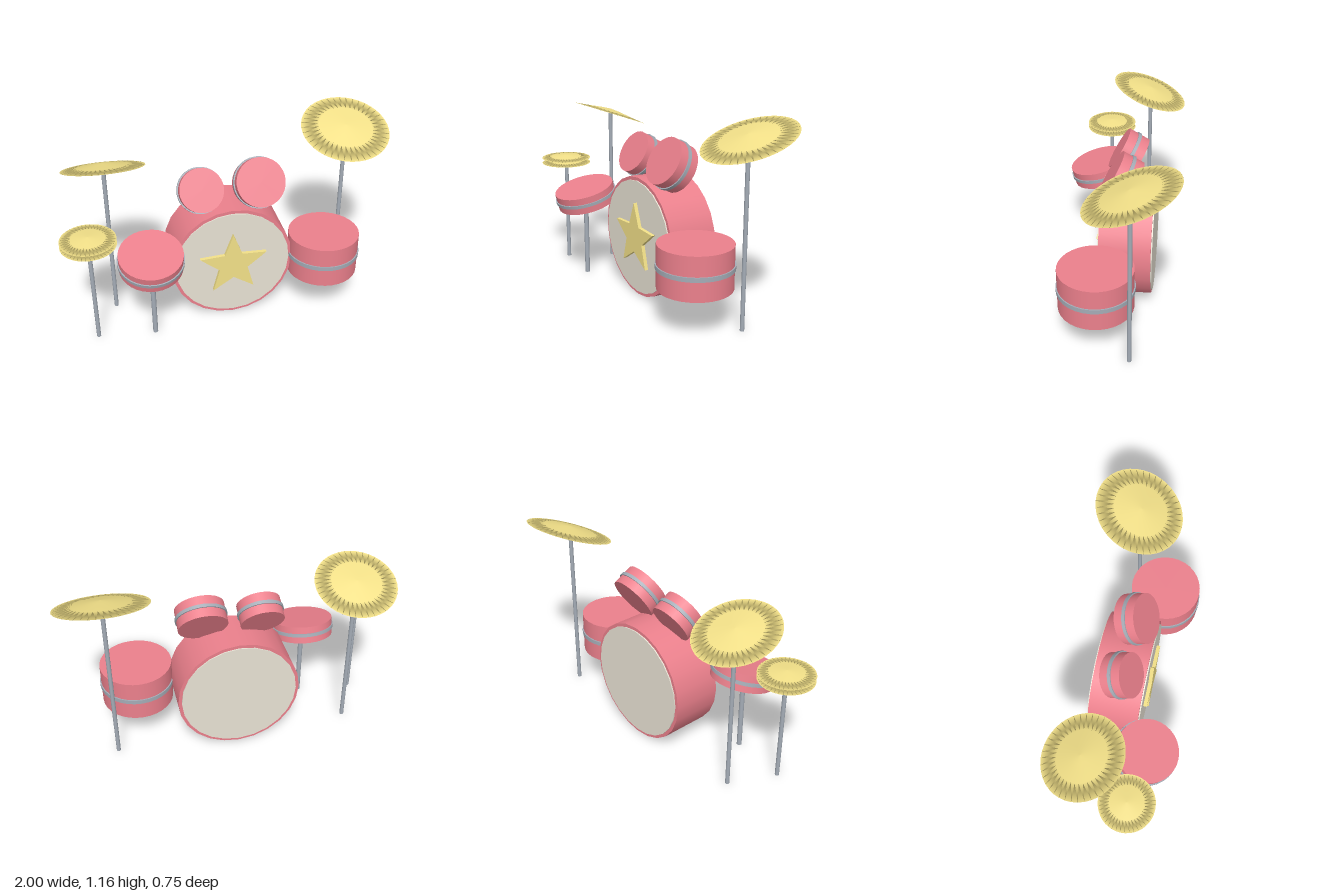
import * as THREE from 'three';

const mat = (color) => new THREE.MeshStandardMaterial({ color });

export function createModel() {
  const kit = new THREE.Group();
  const shellMat = mat(0xeb808c), brass = mat(0xf2e088), steel = mat(0xa4acb6), skin = mat(0xe8e2d4);

  const add = (parent, name, geometry, material, x = 0, y = 0, z = 0) => {
    const m = new THREE.Mesh(geometry, material);
    m.name = name;
    m.position.set(x, y, z);
    parent.add(m);
    return m;
  };

  // Drum with a raised metal band, tilted forward about x
  const drum = (name, x, y, z, r, h, tilt, band) => {
    const g = new THREE.Group();
    g.name = name;
    g.position.set(x, y, z);
    g.rotation.x = THREE.MathUtils.degToRad(tilt);
    add(g, name + 'Shell', new THREE.CylinderGeometry(r, r, h, 32), shellMat);
    add(g, name + 'Band', new THREE.CylinderGeometry(r + 0.007, r + 0.007, band, 32), steel);
    kit.add(g);
  };

  // Shallow domed cymbal with a flat underside
  const cymbal = (name, x, y, z, r, tilt) => {
    const h = 0.125 * r;
    const profile = [[0, 0], [r, 0], [r * 0.6, h * 0.42], [r * 0.2, h * 0.87], [0, h]]
      .map(([a, b]) => new THREE.Vector2(a, b));
    const m = add(kit, name, new THREE.LatheGeometry(profile, 40), brass, x, y, z);
    m.rotation.x = THREE.MathUtils.degToRad(tilt);
  };

  const stand = (name, x, z, h, r = 0.0125) =>
    add(kit, name, new THREE.CylinderGeometry(r, r, h, 12), steel, x, h / 2, z);

  // Bass drum: shell, and a skin on both ends
  const bass = new THREE.Group();
  bass.name = 'bassDrum';
  bass.position.set(-0.006, 0.368, -0.05);
  kit.add(bass);
  add(bass, 'bassShell', new THREE.CylinderGeometry(0.367, 0.367, 0.3, 24), shellMat).rotation.x = Math.PI / 2;
  add(bass, 'bassSkins', new THREE.CylinderGeometry(0.347, 0.347, 0.314, 24), skin).rotation.x = Math.PI / 2;

  // Star on the front skin
  const star = new THREE.Shape();
  for (let i = 0; i < 10; i++) {
    const r = i % 2 ? 0.09 : 0.212, a = Math.PI / 2 + (i * Math.PI) / 5;
    star[i ? 'lineTo' : 'moveTo'](r * Math.cos(a), r * Math.sin(a));
  }
  star.closePath();
  add(bass, 'star', new THREE.ExtrudeGeometry(star, { depth: 0.03, bevelEnabled: false }), brass, 0, 0.003, 0.149);

  // Drums
  drum('floorTom', 0.564, 0.372, 0.085, 0.214, 0.255, 0, 0.026);
  drum('snare', -0.504, 0.527, 0.185, 0.187, 0.104, 15, 0.02);
  drum('rightTom', -0.171, 0.82, -0.027, 0.13, 0.13, 60, 0.02);
  drum('leftTom', 0.177, 0.834, -0.016, 0.146, 0.13, 60, 0.02);

  // Stands
  stand('snareStand', -0.504, 0.185, 0.5, 0.015);
  stand('hiHatStand', -0.842, 0.15, 0.67);
  stand('rightCrashStand', -0.707, -0.117, 0.99);
  stand('leftCrashStand', 0.731, -0.117, 1.07);

  // Cymbals
  cymbal('hiHatBottom', -0.842, 0.664, 0.15, 0.159, 0);
  cymbal('hiHatTop', -0.842, 0.696, 0.15, 0.159, 0);
  cymbal('rightCrash', -0.708, 0.99, -0.113, 0.24, -20);
  cymbal('leftCrash', 0.732, 1.07, -0.122, 0.265, 20);

  return kit;
}
